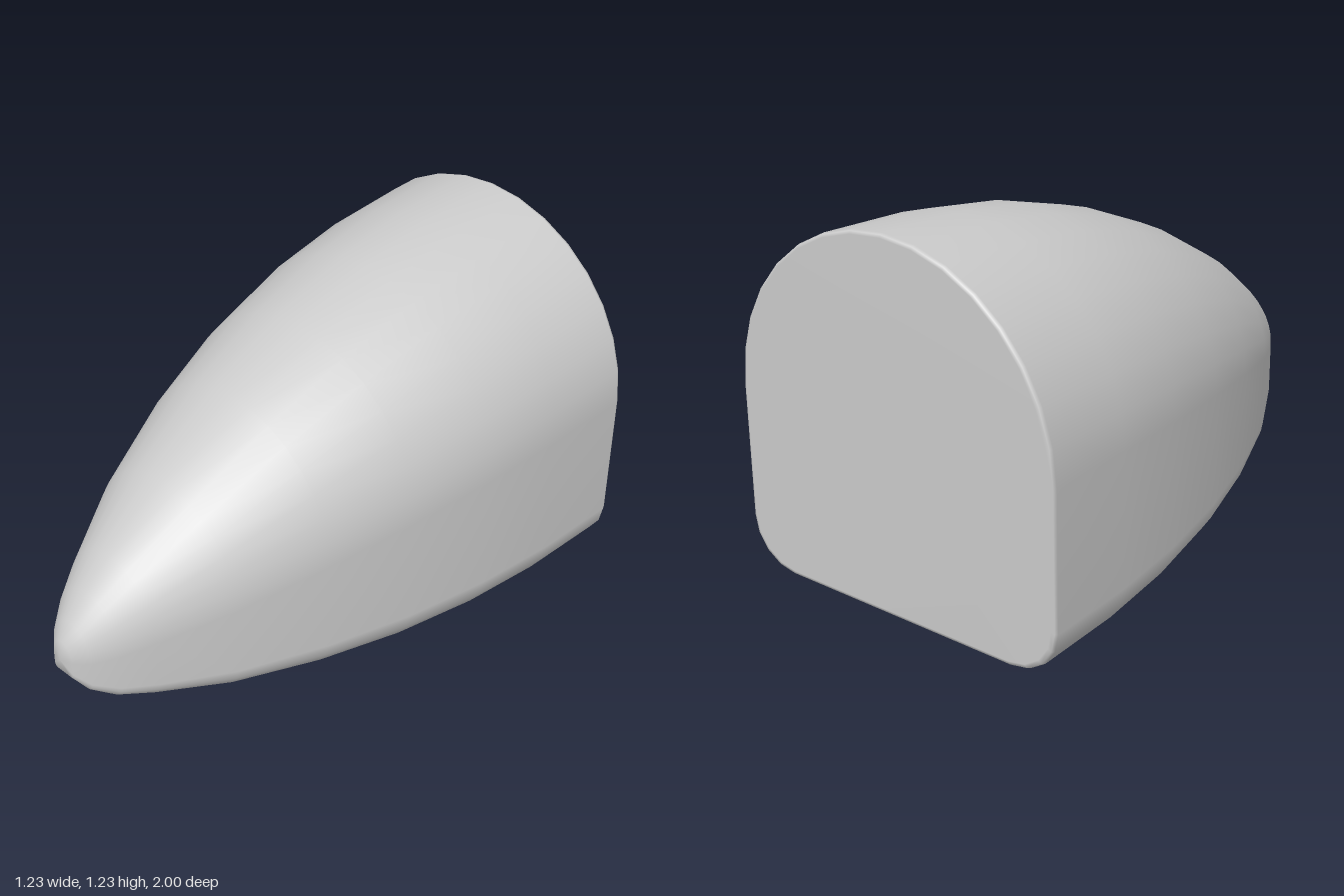
import * as THREE from 'three';

// Unit arch section, counter-clockwise seen from the front: x in -1..1, y in 0..1
function archSection() {
  const pts = [];
  const arc = (cx, cy, rx, ry, from, to, steps) => {
    for (let i = 0; i <= steps; i++) {
      const a = THREE.MathUtils.degToRad(from + ((to - from) * i) / steps);
      pts.push([cx + rx * Math.cos(a), cy + ry * Math.sin(a)]);
    }
  };
  arc(0, 0.5, 1, 0.5, 0, 180, 16); // round top
  arc(-0.73, 0.13, 0.27, 0.13, 180, 270, 4); // bottom corners
  arc(0.73, 0.13, 0.27, 0.13, 270, 360, 4);
  return pts;
}

// Sections from back to nose: z, half width, bottom, top
const STATIONS = [
  [-1, 0.6, 0.017, 1.222],
  [-0.996, 0.61, 0.006, 1.231],
  [-0.985, 0.615, 0.002, 1.234],
  [-0.66, 0.605, 0, 1.212],
  [-0.36, 0.575, 0.008, 1.162],
  [-0.05, 0.518, 0.026, 1.07],
  [0.25, 0.435, 0.053, 0.94],
  [0.55, 0.325, 0.092, 0.765],
  [0.78, 0.205, 0.135, 0.595],
  [0.88, 0.145, 0.16, 0.51],
  [0.95, 0.09, 0.2, 0.43],
  [0.987, 0.045, 0.25, 0.375],
];

export function createModel() {
  const section = archSection();
  const n = section.length;
  const positions = [];
  const index = [];

  for (const [z, halfWidth, bottom, top] of STATIONS) {
    for (const [u, v] of section) positions.push(u * halfWidth, bottom + v * (top - bottom), z);
  }
  const back = positions.length / 3;
  const tip = back + 1;
  positions.push(0, 0.6, -1, 0, 0.31, 1);

  const last = (STATIONS.length - 1) * n;
  for (let i = 0; i < n; i++) {
    const k = (i + 1) % n;
    // skin between neighbouring sections
    for (let j = 0; j < last; j += n) {
      index.push(j + i, j + k, j + n + k, j + i, j + n + k, j + n + i);
    }
    index.push(back, k, i); // flat back
    index.push(last + i, last + k, tip); // nose
  }

  const geometry = new THREE.BufferGeometry();
  geometry.setAttribute('position', new THREE.Float32BufferAttribute(positions, 3));
  geometry.setIndex(index);
  geometry.computeVertexNormals();

  const shell = new THREE.Mesh(geometry, new THREE.MeshStandardMaterial({ color: 0xcccccc }));
  shell.name = 'noseShell';
  const group = new THREE.Group();
  group.name = 'noseCone';
  group.add(shell);
  return group;
}
